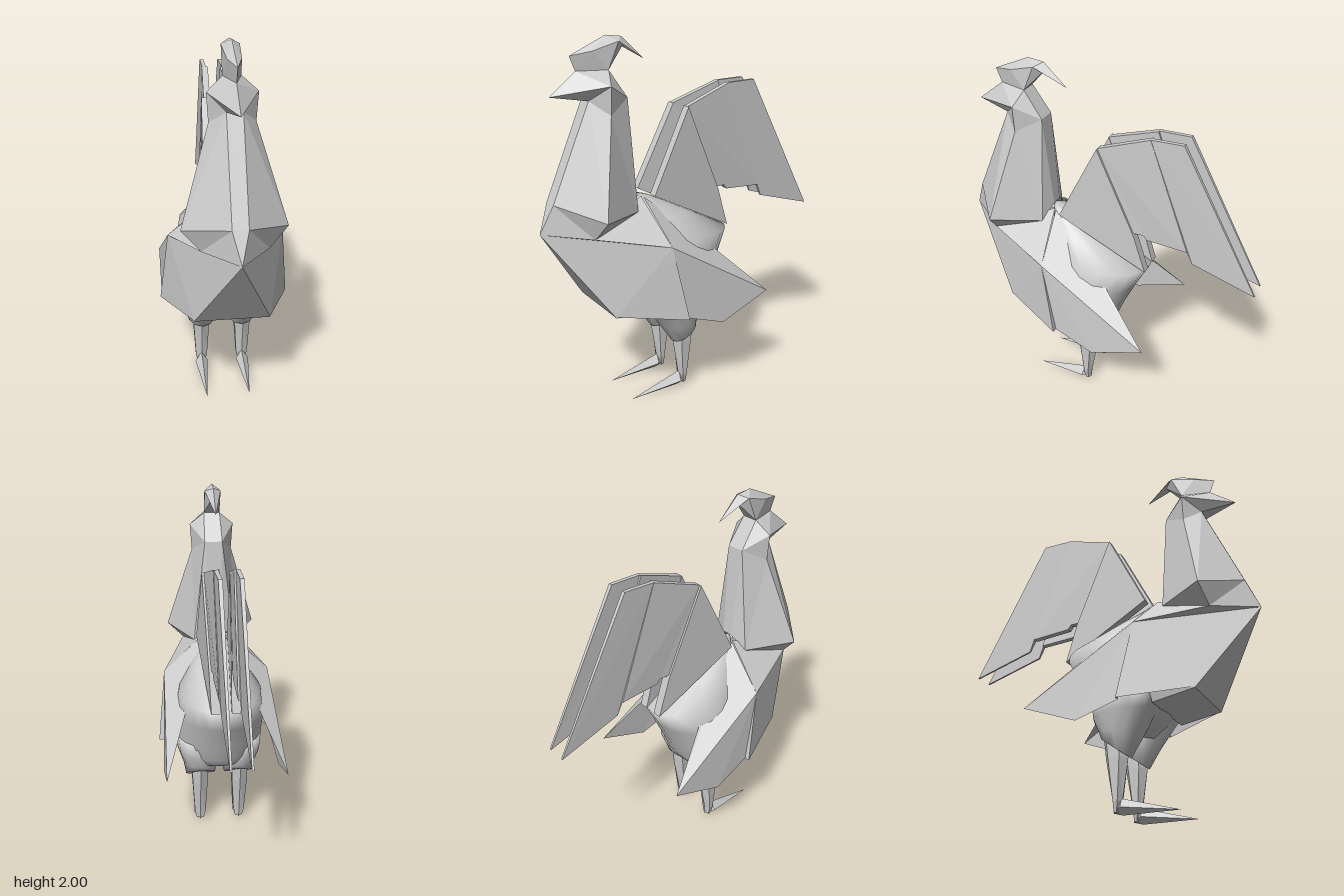
import * as THREE from 'three';

const paper = new THREE.MeshStandardMaterial({ color: 0xcccccc, flatShading: true, side: THREE.DoubleSide });
const smoothPaper = new THREE.MeshStandardMaterial({ color: 0xcccccc, side: THREE.DoubleSide });

function mesh(name, geometry, material = paper) {
  const m = new THREE.Mesh(geometry, material);
  m.name = name;
  return m;
}

// Folded paper from named corners. Each triangle is mirrored across x = 0,
// except those that already use a mirrored corner ("-name").
function folded(name, corners, rows) {
  const pos = [];
  const at = (key, side) => {
    const flip = key[0] === '-';
    const [x, y, z] = corners[flip ? key.slice(1) : key];
    return [x * side * (flip ? -1 : 1), y, z];
  };
  for (const t of rows.flatMap((row) => row.split(', '))) {
    const [a, b, c] = t.split(' ');
    pos.push(...at(a, 1), ...at(b, 1), ...at(c, 1));
    if (!t.includes('-')) pos.push(...at(a, -1), ...at(c, -1), ...at(b, -1));
  }
  const g = new THREE.BufferGeometry();
  g.setAttribute('position', new THREE.Float32BufferAttribute(pos, 3));
  g.computeVertexNormals();
  return mesh(name, g);
}

// Stacked oval rings, top to bottom: [yFront, yBack, x, zFront, zBack, halfWidth]
function loft(name, rings, sides, material = paper) {
  const pos = [], idx = [];
  rings.forEach(([yf, yb, x, zf, zb, w], r) => {
    for (let i = 0; i < sides; i++) {
      const a = (i / sides) * Math.PI * 2, k = (1 + Math.cos(a)) / 2;
      pos.push(x + w * Math.sin(a), yb + (yf - yb) * k, zb + (zf - zb) * k);
      if (r === 0) continue;
      const j = (i + 1) % sides, up = (r - 1) * sides, lo = r * sides;
      idx.push(up + i, lo + i, lo + j, up + i, lo + j, up + j);
    }
  });
  const last = (rings.length - 1) * sides;
  for (let i = 1; i < sides - 1; i++) {
    idx.push(0, i, i + 1, last, last + i + 1, last + i);
  }
  const g = new THREE.BufferGeometry();
  g.setAttribute('position', new THREE.Float32BufferAttribute(pos, 3));
  g.setIndex(idx);
  g.computeVertexNormals();
  return mesh(name, g, material);
}

// Upright sheet from a [z, y] outline; it leans outward towards the front
function sheet(name, outline, side, thickness, offset) {
  const shape = new THREE.Shape(outline.map(([z, y]) => new THREE.Vector2(z, y)));
  const g = new THREE.ExtrudeGeometry(shape, { depth: thickness, bevelEnabled: false });
  g.rotateY(-Math.PI / 2).translate(thickness / 2, 0, 0);
  const p = g.attributes.position;
  for (let i = 0; i < p.count; i++) {
    const z = p.getZ(i);
    const taper = z < -0.5 ? 0.5 : 1;
    const lean = 0.052 + 0.038 * Math.max(0, (z + 0.3) / 0.55);
    p.setX(i, p.getX(i) * taper + side * (lean + offset));
  }
  g.computeVertexNormals();
  return mesh(name, g);
}

export function createModel() {
  const group = new THREE.Group();

  // Head and neck, flaring into the pointed collar
  group.add(folded('headAndNeck', {
    tip: [0, 1.72, 0.775], brow: [0, 1.835, 0.63], cheek: [0.125, 1.765, 0.5],
    throat: [0.04, 1.69, 0.585], crown: [0.045, 1.835, 0.47], nape: [0.05, 1.69, 0.37],
    jaw: [0.115, 1.62, 0.5], front: [0.04, 1.19, 0.8], wide: [0.265, 1.12, 0.615],
    flap: [0.17, 1.015, 0.64], rear: [0.12, 1.1, 0.36], back: [0.03, 1.175, 0.33],
  }, [
    'tip cheek brow, tip throat cheek, tip -throat throat, brow cheek crown',
    'brow crown -crown, cheek nape crown, crown nape -nape, crown -nape -crown',
    'cheek throat jaw, cheek jaw nape, throat front wide, throat wide jaw',
    'front throat -throat, front -throat -front, jaw wide rear, jaw rear nape',
    'nape rear back, nape back -back, nape -back -nape',
    'front flap wide, wide flap rear',
  ]));

  // Comb curling backwards off the head
  group.add(folded('comb', {
    brow: [0, 1.835, 0.63], peak: [0, 1.91, 0.66], top: [0, 2, 0.46], bend: [0, 1.99, 0.37],
    tip: [0, 1.87, 0.24], under: [0, 1.95, 0.36], sideA: [0.035, 1.93, 0.55],
    sideB: [0.045, 1.97, 0.41], base: [0.045, 1.835, 0.47],
  }, [
    'brow sideA peak, peak sideA top, top sideA sideB, top sideB bend',
    'bend sideB tip, tip sideB under, sideA base sideB, sideA brow base',
    'sideB base under, under base -base',
  ]));

  // Breast, with its flat triangular front and side facets
  group.add(folded('breast', {
    keel: [0, 1.035, 0.865], neck: [0.04, 1.19, 0.8], flap: [0.17, 1.015, 0.64],
    corner: [0.2, 0.57, 0.55], hip: [0.31, 0.94, 0.27], back: [0.06, 1.165, 0.31],
    belly: [0.2, 0.53, 0.32],
  }, [
    'keel -corner corner, keel corner hip, keel hip flap, keel flap neck',
    'keel neck -neck, flap hip back, corner belly hip',
    'corner -corner belly, -corner -belly belly',
  ]));

  // Rounded body behind the breast
  group.add(loft('body', [
    [1.165, 1.14, 0, 0.34, 0.22, 0.05],
    [1.06, 1.03, 0, 0.34, 0.0, 0.14],
    [0.94, 0.905, 0, 0.36, -0.25, 0.235],
    [0.76, 0.76, 0, 0.42, -0.175, 0.265],
    [0.62, 0.6, 0, 0.42, -0.1, 0.26],
    [0.53, 0.5, 0, 0.33, -0.06, 0.245],
    [0.43, 0.44, 0, 0.23, -0.02, 0.17],
  ], 20, smoothPaper));

  const feathers = [
    ['frontTailPanel', [[0.255, 1.165], [0.03, 1.615], [-0.18, 1.13], [-0.25, 0.905]], 0.05, 0],
    ['middleTailPanel', [[0.03, 1.615], [-0.255, 1.715], [-0.48, 1.1], [-0.25, 1.115],
      [-0.23, 1.14], [-0.17, 1.14]], 0.034, -0.004],
    ['rearTailPanel', [[-0.255, 1.715], [-0.43, 1.72], [-0.865, 0.925], [-0.51, 1.03],
      [-0.48, 1.1]], 0.022, 0],
  ];

  for (const side of [1, -1]) {
    const label = side > 0 ? 'left' : 'right';

    // Tail: two upright fans of overlapping panels
    for (const [name, outline, thickness, offset] of feathers) {
      group.add(sheet(`${label} ${name}`, outline, side, thickness, offset));
    }

    // Thigh wedge, its lower edge rising to the rear
    group.add(loft(`${label} thigh`, [
      [0.6, 0.6, side * 0.14, 0.39, -0.05, 0.12],
      [0.52, 0.5, side * 0.13, 0.31, -0.04, 0.12],
      [0.39, 0.43, side * 0.115, 0.22, -0.01, 0.1],
      [0.29, 0.4, side * 0.115, 0.155, 0.005, 0.088],
    ], 12, smoothPaper));

    // Shin
    group.add(loft(`${label} shin`, [
      [0.42, 0.42, side * 0.12, 0.15, 0.01, 0.055],
      [0.29, 0.29, side * 0.12, 0.15, 0.025, 0.052],
      [0.07, 0.07, side * 0.12, 0.115, 0.065, 0.038],
      [0.01, 0.02, side * 0.12, 0.1, 0.07, 0.025],
    ], 6));
  }

  // Wings: folded panels reaching out and back
  group.add(folded('wings', {
    shoulder: [0.07, 1.16, 0.3], hip: [0.31, 0.94, 0.27], corner: [0.2, 0.575, 0.55],
    flare: [0.355, 0.525, 0.19], tuck: [0.325, 0.525, 0.19], low: [0.34, 0.445, -0.04],
    tip: [0.335, 0.56, -0.35], inner: [0.14, 0.98, 0.08],
  }, [
    'hip corner flare, hip tuck low, hip low tip',
    'shoulder hip tip, shoulder tip inner, hip flare tuck',
  ]));

  // Pointed feet
  group.add(folded('feet', {
    toe: [0.12, 0, 0.425], ankle: [0.12, 0.085, 0.11], outer: [0.158, 0.035, 0.12],
    inside: [0.085, 0.035, 0.12], heel: [0.12, 0.015, 0.065], sole: [0.12, 0, 0.12],
  }, [
    'toe outer ankle, toe ankle inside, toe sole outer, toe inside sole',
    'heel ankle outer, heel inside ankle, heel outer sole, heel sole inside',
  ]));

  return group;
}
